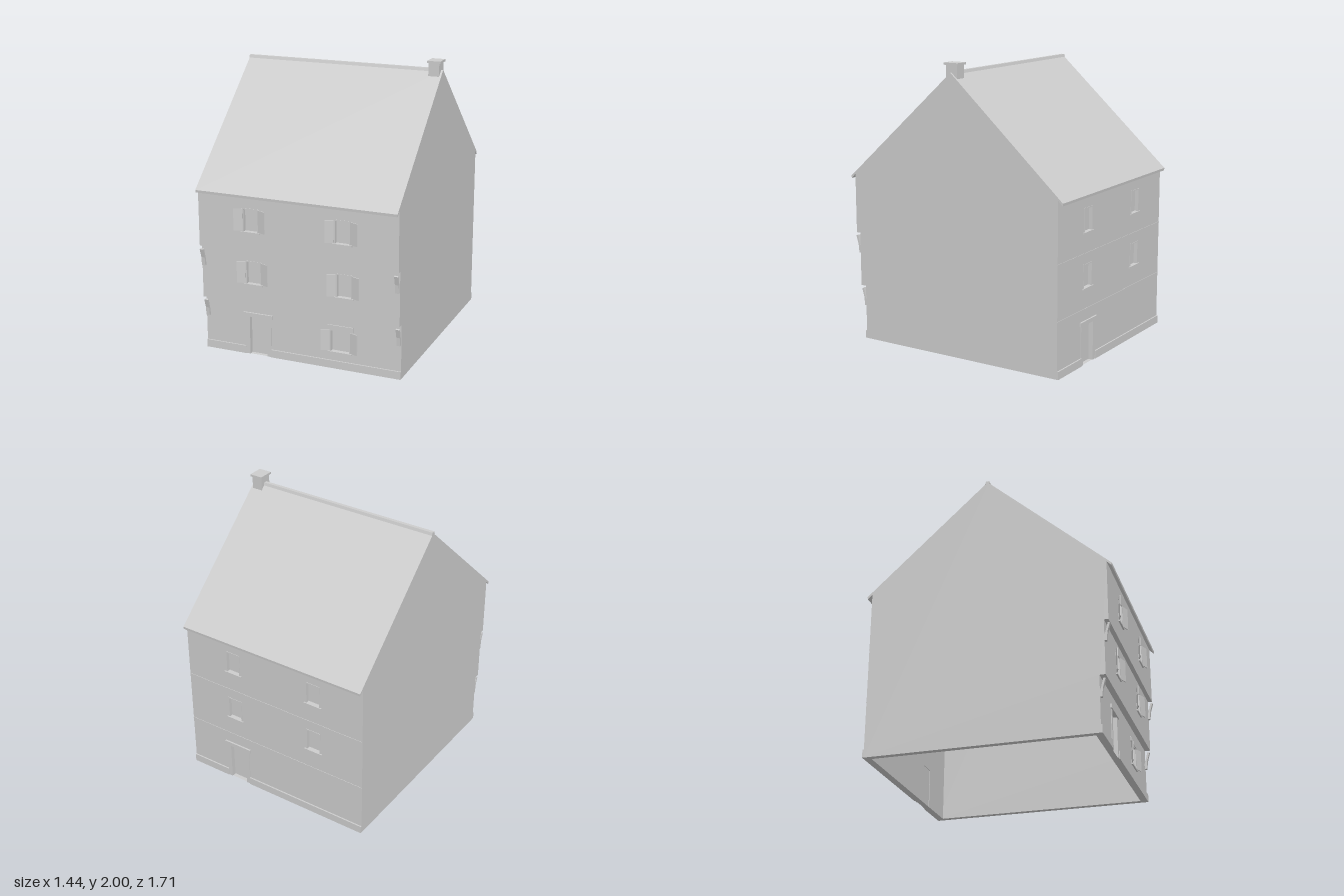
import * as THREE from 'three';

const stone = new THREE.MeshStandardMaterial({ color: 0xcccccc });
stone.name = 'pale grey';

const W = 0.72;   // half width of the house
const T = 0.04;   // wall thickness

function add(parent, name, geometry) {
  const mesh = new THREE.Mesh(geometry, stone);
  mesh.name = name;
  parent.add(mesh);
  return mesh;
}

// Box given by its limits on each axis
function box(parent, name, x0, x1, y0, y1, z0, z1) {
  const g = new THREE.BoxGeometry(x1 - x0, y1 - y0, z1 - z0);
  g.translate((x0 + x1) / 2, (y0 + y1) / 2, (z0 + z1) / 2);
  return add(parent, name, g);
}

// Outline in (z, y), extruded along x from x0 to x1
function profile(parent, name, points, x0, x1) {
  const shape = new THREE.Shape(points.map(([z, y]) => new THREE.Vector2(z, y)));
  const g = new THREE.ExtrudeGeometry(shape, { depth: x1 - x0, bevelEnabled: false });
  g.rotateY(-Math.PI / 2).translate(x1, 0, 0);
  return add(parent, name, g);
}

function rect(Type, x0, x1, y0, y1) {
  return new Type([[x0, y0], [x1, y0], [x1, y1], [x0, y1]].map(p => new THREE.Vector2(...p)));
}

// Storey wall with openings; z is its outer face
function wall(parent, name, y0, y1, z, openings) {
  const shape = rect(THREE.Shape, -W + T, W - T, y0, y1);
  for (const o of openings) shape.holes.push(rect(THREE.Path, ...o));
  const g = new THREE.ExtrudeGeometry(shape, { depth: T, bevelEnabled: false });
  g.translate(0, 0, z - T);
  add(parent, name, g);
}

// Recessed pane, frame and sill, with optional ajar shutters
function windowUnit(parent, [x0, x1, y0, y1], z, shutters) {
  const unit = new THREE.Group();
  unit.name = 'window';
  parent.add(unit);
  box(unit, 'pane', x0, x1, y0, y1, z - 0.032, z - 0.024);
  for (const [a, b] of [[x0, x0 + 0.008], [x1 - 0.008, x1]])
    box(unit, 'frameSide', a, b, y0, y1, z - 0.024, z + 0.003);
  box(unit, 'frameTop', x0, x1, y1 - 0.008, y1, z - 0.024, z + 0.003);
  box(unit, 'sill', x0 - 0.012, x1 + 0.012, y0 - 0.01, y0, z - 0.01, z + 0.01);
  if (!shutters) return;
  for (const side of [-1, 1]) {
    const g = new THREE.BoxGeometry(0.06, y1 - y0 - 0.01, 0.006);
    g.translate(side * 0.03, 0, 0);
    const leaf = add(unit, 'shutter', g);
    leaf.position.set(side < 0 ? x0 : x1, (y0 + y1) / 2, z + 0.004);
    leaf.rotation.y = -side * 0.35;
  }
}

// Recessed door with jambs and hood
function doorUnit(parent, [x0, x1, , y1], z) {
  const unit = new THREE.Group();
  unit.name = 'doorway';
  parent.add(unit);
  box(unit, 'door', x0, x1, 0, y1, z - 0.036, z - 0.028);
  box(unit, 'leftJamb', x0 - 0.03, x0, 0, y1, z - 0.01, z + 0.005);
  box(unit, 'rightJamb', x1, x1 + 0.03, 0, y1, z - 0.01, z + 0.005);
  box(unit, 'hood', x0 - 0.045, x1 + 0.045, y1, y1 + 0.028, z - 0.01, z + 0.012);
}

// One long side of the house, facing +z; levels lists the face of each storey
function facade(name, levels, shutters, groundWindow) {
  const f = new THREE.Group();
  f.name = name;
  const door = [-0.385, -0.255, 0, 0.277];
  const upper = (x, y) => [x - 0.058, x + 0.058, y, y + 0.163];
  const ys = [0, 0.385, 0.765, 1.185];
  const openings = [[], [upper(-0.33, 0.53), upper(0.33, 0.53)], [upper(-0.33, 0.91), upper(0.33, 0.91)]];
  if (groundWindow) openings[0].push(groundWindow);
  levels.forEach((z, i) => {
    wall(f, 'storeyWall', ys[i], ys[i + 1], z, i ? openings[i] : [door, ...openings[0]]);
    for (const o of openings[i]) windowUnit(f, o, z, shutters);
  });
  doorUnit(f, door, levels[0]);
  const z = levels[0];
  box(f, 'plinth', -W, -0.415, 0, 0.055, z - 0.01, z + 0.01);
  box(f, 'plinth', -0.225, W, 0, 0.055, z - 0.01, z + 0.01);
  return f;
}

export function createModel() {
  const house = new THREE.Group();
  house.name = 'house';

  // Gable ends, stepping out at each storey of the front
  const gable = [[-0.82, 0], [0.75, 0], [0.75, 0.385], [0.79, 0.385], [0.79, 0.765],
    [0.82, 0.765], [0.82, 1.185], [0, 1.92], [-0.82, 1.185]];
  profile(house, 'leftGable', gable, W - T, W);
  profile(house, 'rightGable', gable, -W, -W + T);

  // Front with shutters, overhangs and a wide ground window
  const ground = [0.21, 0.36, 0.12, 0.277];
  const front = facade('frontFacade', [0.75, 0.79, 0.82], true, ground);
  box(front, 'lintel', 0.195, 0.38, 0.277, 0.31, 0.74, 0.757);
  house.add(front);

  // Plain back
  const back = facade('backFacade', [0.82, 0.82, 0.82], false, null);
  for (const y of [0.385, 0.765]) box(back, 'stringCourse', -W, W, y - 0.003, y + 0.003, 0.81, 0.823);
  back.rotation.y = Math.PI;
  house.add(back);

  // Slanted corner struts under the overhangs
  for (const [y, z] of [[0.24, 0.75], [0.62, 0.79]])
    for (const side of [-1, 1]) {
      const x = side * 0.704;
      profile(house, 'strut', [[z, y], [z + 0.014, y], [z + 0.02, y + 0.06], [z + 0.038, y + 0.122],
        [z + 0.024, y + 0.125], [z + 0.007, y + 0.06], [z, y + 0.04]], x - 0.013, x + 0.013);
    }

  // Roof slopes with hanging eaves
  for (const side of [-1, 1]) {
    const slope = [[0, 1.936], [0, 1.918], [0.815, 1.187], [0.853, 1.15], [0.855, 1.168]];
    profile(house, 'roofSlope', slope.map(([z, y]) => [side * z, y]), -W, W);
  }
  profile(house, 'ridgeCap', [[-0.018, 1.924], [0.018, 1.924], [0.012, 1.944], [-0.012, 1.944]], -W, 0.66);

  // Chimney
  const chimney = new THREE.Group();
  chimney.name = 'chimney';
  box(chimney, 'stack', 0.63, 0.706, 1.89, 1.985, -0.045, 0.045);
  box(chimney, 'cap', 0.622, 0.716, 1.985, 2, -0.055, 0.055);
  house.add(chimney);

  return house;
}
